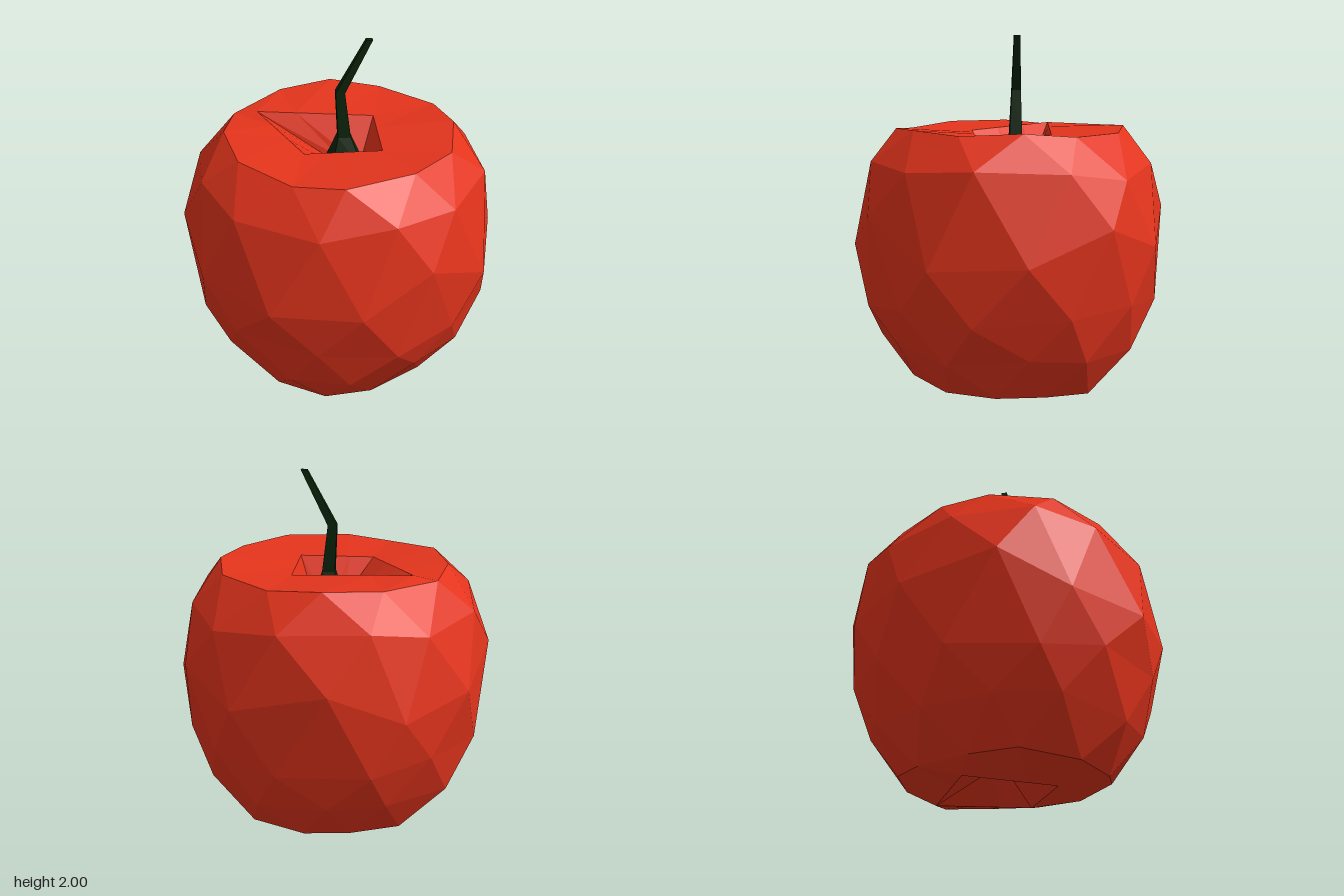
import * as THREE from 'three';

const SIDES = 12;
const START = THREE.MathUtils.degToRad(57);
const STEP = (Math.PI * 2) / SIDES;

// Irregular ring around the body; half = shifted by half a facet
function bodyRing(radius, half, heightAt) {
  const points = [];
  for (let i = 0; i < SIDES; i++) {
    const a = START + (i + (half ? 0.5 : 0) + 0.1 * Math.sin(i * 2.3 + radius * 9)) * STEP;
    const r = radius * (1 + 0.008 * Math.sin(i * 3.1 + radius * 7));
    points.push(new THREE.Vector3(Math.cos(a) * r, heightAt(i), Math.sin(a) * r));
  }
  return { points, half };
}

// Gently uneven height for a body ring
const uneven = (y, amount) => (i) => y + amount * Math.sin(i * 1.9 + y * 5);

// Four-cornered ring, each side split in three so it joins the body rings
function quadRing(corners, roll = 0) {
  const points = [];
  for (let i = 0; i < SIDES; i++) {
    const j = (i + roll) % SIDES;
    const k = Math.floor(j / 3);
    const from = new THREE.Vector3(...corners[k]);
    points.push(from.lerp(new THREE.Vector3(...corners[(k + 1) % 4]), (j % 3) / 3));
  }
  return { points, half: false };
}

// Small square ring for the stem
function stemRing(x, y, z, r) {
  const points = [];
  for (let i = 0; i < 4; i++) {
    const a = START + (i * Math.PI) / 2;
    points.push(new THREE.Vector3(x + Math.cos(a) * r, y, z + Math.sin(a) * r));
  }
  return { points, half: false };
}

// Faceted skin over a list of rings, from the top down
function loft(rings) {
  const soup = [];
  for (let k = 0; k < rings.length - 1; k++) {
    const a = rings[k].points;
    const b = rings[k + 1].points;
    const n = a.length;
    for (let i = 0; i < n; i++) {
      const j = (i + 1) % n;
      if (rings[k].half) soup.push(a[i], b[j], b[i], a[i], a[j], b[j]);
      else soup.push(a[i], a[j], b[i], a[j], b[j], b[i]);
    }
  }
  const geometry = new THREE.BufferGeometry().setFromPoints(soup);
  geometry.computeVertexNormals();
  return geometry;
}

function addPart(group, name, geometry, material) {
  const mesh = new THREE.Mesh(geometry, material);
  mesh.name = name;
  group.add(mesh);
  return mesh;
}

export function createModel() {
  const group = new THREE.Group();
  group.name = 'apple';
  const red = new THREE.MeshStandardMaterial({ color: 0xe4341c, flatShading: true });
  const green = new THREE.MeshStandardMaterial({ color: 0x0c240c, flatShading: true });

  const stemBase = [[0.11, 1.26, 0.11], [-0.07, 1.26, 0.06], [-0.04, 1.26, -0.14], [0.15, 1.26, -0.06]];
  const waist = [1.05, 0.84, 0.82, 0.84, 1.03, 0.92, 0.85, 1.03, 0.88, 1.02, 0.85, 0.82];

  // Fruit: top hollow, round sides, shallow bottom hollow
  addPart(group, 'fruit', loft([
    quadRing(stemBase),
    quadRing([[0.16, 1.46, 0.25], [-0.25, 1.46, 0.16], [-0.38, 1.49, -0.35], [0.25, 1.46, -0.16]]),
    bodyRing(0.64, true, uneven(1.485, 0.015)),
    bodyRing(0.8, false, uneven(1.29, 0.04)),
    bodyRing(0.885, true, (i) => waist[i]),
    bodyRing(0.835, false, uneven(0.56, 0.03)),
    bodyRing(0.74, true, uneven(0.31, 0.03)),
    bodyRing(0.575, false, uneven(0.075, 0.02)),
    quadRing([[0.24, 0.01, 0.17], [-0.21, 0.01, 0.25], [-0.38, 0, -0.26], [0.25, 0.01, -0.36]], 1),
    quadRing([[0.09, 0.15, 0.03], [-0.05, 0.15, 0.08], [-0.09, 0.15, -0.07], [0.05, 0.15, -0.09]], 1),
  ]), red);

  // Bent stem, flared into the hollow
  addPart(group, 'stem', loft([
    stemRing(0.16, 2, 0.01, 0),
    stemRing(0.16, 2, 0.01, 0.024),
    stemRing(0.01, 1.7, -0.03, 0.036),
    stemRing(0.03, 1.44, -0.02, 0.05),
    { points: stemBase.map((p) => new THREE.Vector3(...p)), half: false },
  ]), green);

  // Dark plug closing the bottom hollow
  const calyx = addPart(group, 'calyx', new THREE.CylinderGeometry(0.1, 0.08, 0.04, 4), green);
  calyx.position.set(0, 0.15, -0.01);
  calyx.rotation.y = 1.1;

  return group;
}
